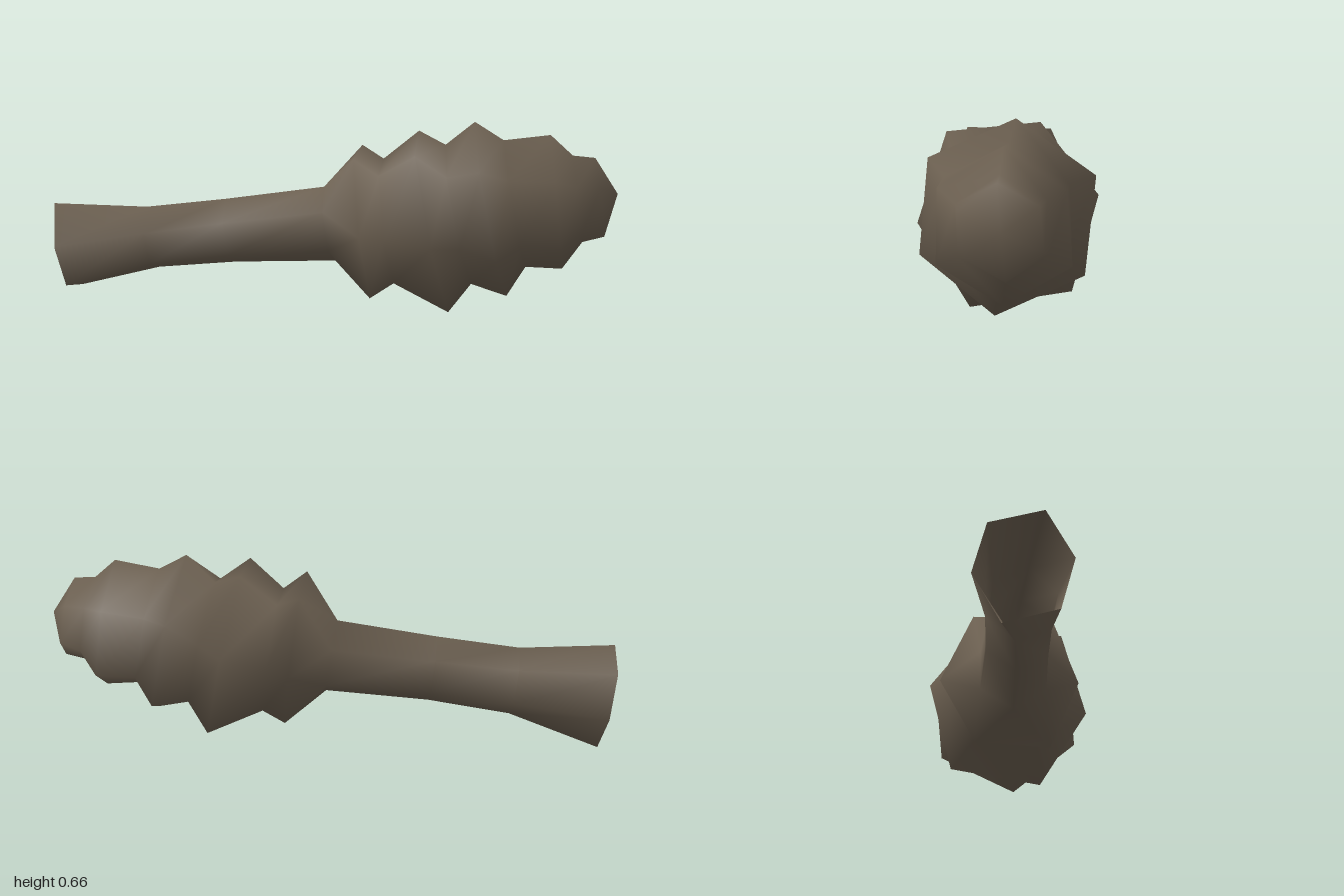
import * as THREE from 'three';

const SIDES = 6;

// Six-sided rings: [x, centreY, centreZ, twist in degrees, tilt, radius or six radii]
const STEM_RINGS = [
  [-0.975, 0.175, -0.02, 20, 0.15, [0.18, 0.15, 0.165, 0.183, 0.152, 0.165]],
  [-0.65, 0.217, -0.007, 10, 0.12, 0.12],
  [-0.36, 0.253, -0.002, 4, 0.12, 0.119],
];
// Wide scale rings alternate with narrow grooves
const CONE_RINGS = [
  [0, 0.29, 0, 0, 0.15, 0.135],
  [0.13, 0.305, 0, 30, 0.12, [0.29, 0.245, 0.28, 0.26, 0.26, 0.285]],
  [0.21, 0.31, 0, 34, 0.14, 0.225],
  [0.365, 0.335, 0, 39, 0.21, [0.32, 0.3, 0.34, 0.34, 0.303, 0.3]],
  [0.455, 0.34, 0, 46, 0.22, 0.243],
  [0.567, 0.365, 0, 54, 0.21, [0.303, 0.296, 0.309, 0.309, 0.31, 0.301]],
  [0.65, 0.383, 0, 57, 0.2, 0.223],
  [0.793, 0.393, 0, 60, 0.12, [0.228, 0.232, 0.238, 0.238, 0.217, 0.237]],
  [0.865, 0.407, 0, 63, 0.15, 0.155],
  [0.94, 0.415, 0, 65, 0.16, [0.145, 0.131, 0.143, 0.135, 0.133, 0.142]],
];
const TIP = [1, 0.43, 0];

export function createModel() {
  // Ring corners
  const rings = [...STEM_RINGS, ...CONE_RINGS];
  const pos = [], idx = [];
  for (const [x, cy, cz, twist, tilt, radius] of rings) {
    for (let j = 0; j < SIDES; j++) {
      const a = THREE.MathUtils.degToRad(twist + (j * 360) / SIDES);
      const r = Array.isArray(radius) ? radius[j] : radius;
      const dy = r * Math.cos(a);
      pos.push(x - tilt * dy, cy + dy, cz + r * Math.sin(a));
    }
  }
  pos.push(...TIP);

  // Skin between rings, then the fan at the tip
  const last = rings.length - 1;
  for (let i = 0; i <= last; i++) {
    for (let j = 0; j < SIDES; j++) {
      const a = i * SIDES + j, b = i * SIDES + ((j + 1) % SIDES);
      if (i < last) idx.push(a, b, a + SIDES, b, b + SIDES, a + SIDES);
      else idx.push(a, b, rings.length * SIDES);
    }
  }
  const skin = new THREE.BufferGeometry();
  skin.setAttribute('position', new THREE.Float32BufferAttribute(pos, 3));
  skin.setIndex(idx);
  skin.computeVertexNormals();

  const bark = new THREE.MeshStandardMaterial({ color: 0x6b5f50, side: THREE.DoubleSide });
  bark.name = 'brownBark';

  // Hollow stem and cone share normals, so the joint stays smooth
  const group = new THREE.Group();
  const split = STEM_RINGS.length * SIDES * 6;
  for (const [name, faces] of [['stem', idx.slice(0, split)], ['cone', idx.slice(split)]]) {
    const geo = skin.clone();
    geo.setIndex(faces);
    const mesh = new THREE.Mesh(geo, bark);
    mesh.name = name;
    group.add(mesh);
  }
  return group;
}
